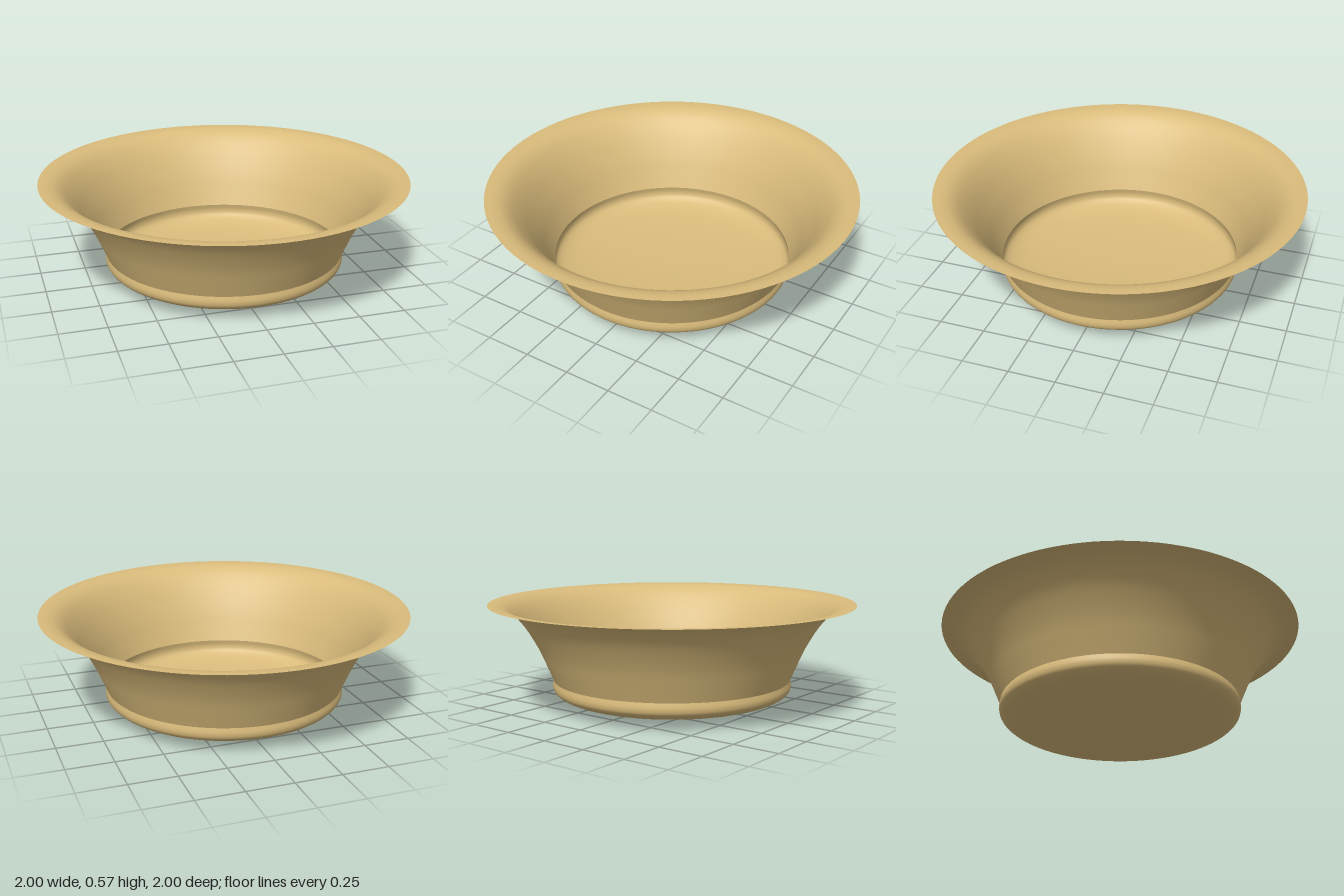
import * as THREE from 'three';

export function createModel() {
  const model = new THREE.Group();
  model.name = 'bowl';
  const clay = new THREE.MeshStandardMaterial({ color: 0xd9bb7b, side: THREE.DoubleSide });
  clay.name = 'sand';

  // Smooth thin shell turned from profile points (radius, height)
  const addShell = (name, points, steps) => {
    const curve = new THREE.SplineCurve(points.map(([r, y]) => new THREE.Vector2(r, y)));
    const mesh = new THREE.Mesh(new THREE.LatheGeometry(curve.getPoints(steps), 96), clay);
    mesh.name = name;
    model.add(mesh);
  };

  // Gently domed base with a rounded bulge up to the neck
  addShell('base', [
    [0, 0], [0.2, 0.005], [0.4, 0.02], [0.54, 0.04], [0.61, 0.06],
    [0.648, 0.085], [0.659, 0.115], [0.654, 0.15],
  ], 48);

  // Flared wall curling out into a flat rim
  addShell('wall', [
    [0.654, 0.15], [0.69, 0.235], [0.725, 0.315], [0.765, 0.39], [0.81, 0.461],
    [0.86, 0.52], [0.905, 0.553], [0.95, 0.567], [1, 0.57],
  ], 48);

  return model;
}
